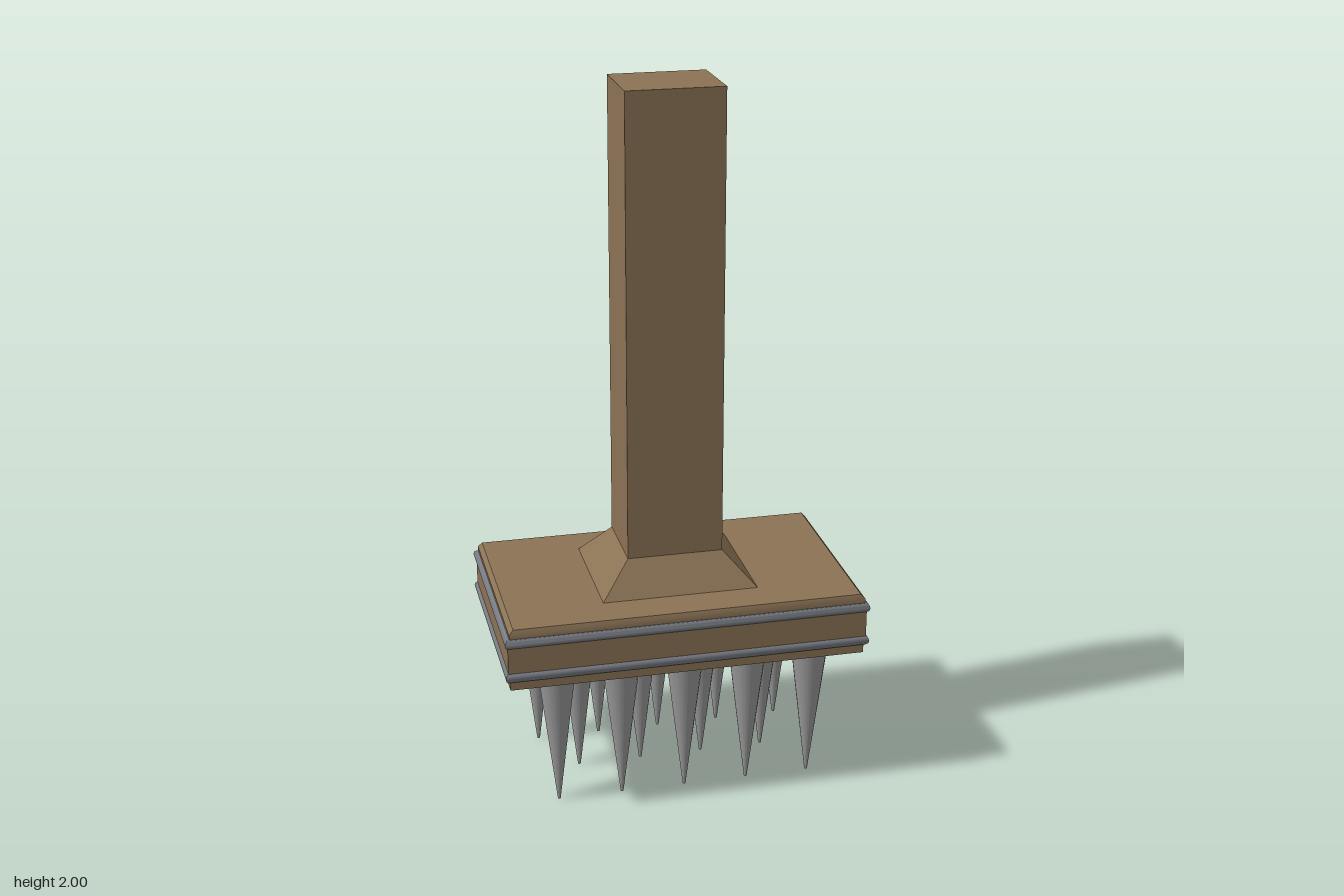
import * as THREE from 'three';
import { toCreasedNormals } from 'three/addons/utils/BufferGeometryUtils.js';

const wood = new THREE.MeshStandardMaterial({ color: 0x8b7355 });
const trim = new THREE.MeshStandardMaterial({ color: 0x777b82 });
const steel = new THREE.MeshStandardMaterial({ color: 0x999999 });

// Sweeps a profile of [half width, half depth, y] around a mitred rectangle
function rectSweep(profile) {
  const signs = [[1, 1], [1, -1], [-1, -1], [-1, 1]];
  const pos = [];
  const corner = (p, k) => [p[0] * signs[k % 4][0], p[2], p[1] * signs[k % 4][1]];
  for (let i = 0; i < profile.length - 1; i++) {
    const low = profile[i], high = profile[i + 1];
    for (let k = 0; k < 4; k++) {
      const a = corner(low, k), b = corner(low, k + 1);
      const c = corner(high, k + 1), d = corner(high, k);
      if (low[0] > 0) pos.push(...a, ...b, ...c);
      else pos.push(...a, ...c, ...d);
      if (low[0] > 0 && high[0] > 0) pos.push(...a, ...c, ...d);
    }
  }
  const geo = new THREE.BufferGeometry();
  geo.setAttribute('position', new THREE.Float32BufferAttribute(pos, 3));
  return toCreasedNormals(geo, 0.6);
}

export function createModel() {
  const model = new THREE.Group();
  model.name = 'spikedBrush';
  const add = (name, geo, mat, x = 0, y = 0, z = 0) => {
    const mesh = new THREE.Mesh(geo, mat);
    mesh.name = name;
    mesh.position.set(x, y, z);
    model.add(mesh);
  };

  // Head block: recessed underside, side band and chamfered top
  add('headBlock', rectSweep([
    [0, 0, 0.45], [0.47, 0.265, 0.45], [0.47, 0.265, 0.42],
    [0.5, 0.293, 0.42], [0.5, 0.293, 0.445],
    [0.505, 0.297, 0.445], [0.505, 0.297, 0.573],
    [0.5, 0.295, 0.573], [0.5, 0.295, 0.587], [0.488, 0.29, 0.6], [0, 0, 0.6],
  ]), wood);

  // Rounded metal rails around the head
  for (const [name, y] of [['lowerRail', 0.459], ['upperRail', 0.56]]) {
    const ring = [];
    for (let i = 0; i <= 12; i++) {
      const t = (i / 12) * Math.PI * 2, r = 0.016;
      ring.push([0.497 + r * Math.cos(t), 0.288 + r * Math.sin(t + Math.PI / 2), y + r * Math.sin(t)]);
    }
    add(name, rectSweep(ring), trim);
  }

  // Handle with a flared foot
  add('handle', rectSweep([
    [0, 0, 0.6], [0.22, 0.184, 0.6], [0.135, 0.112, 0.693], [0.135, 0.112, 2], [0, 0, 2],
  ]), wood);

  // Three staggered rows of spikes
  const spike = new THREE.CylinderGeometry(0.058, 0.004, 0.45, 20);
  const rows = [[0.185, 5], [0.01, 4], [-0.165, 5]];
  for (const [z, count] of rows) {
    for (let i = 0; i < count; i++) {
      add('spike', spike, steel, 0.01 + (i - (count - 1) / 2) * 0.1825, 0.225, z);
    }
  }
  return model;
}
